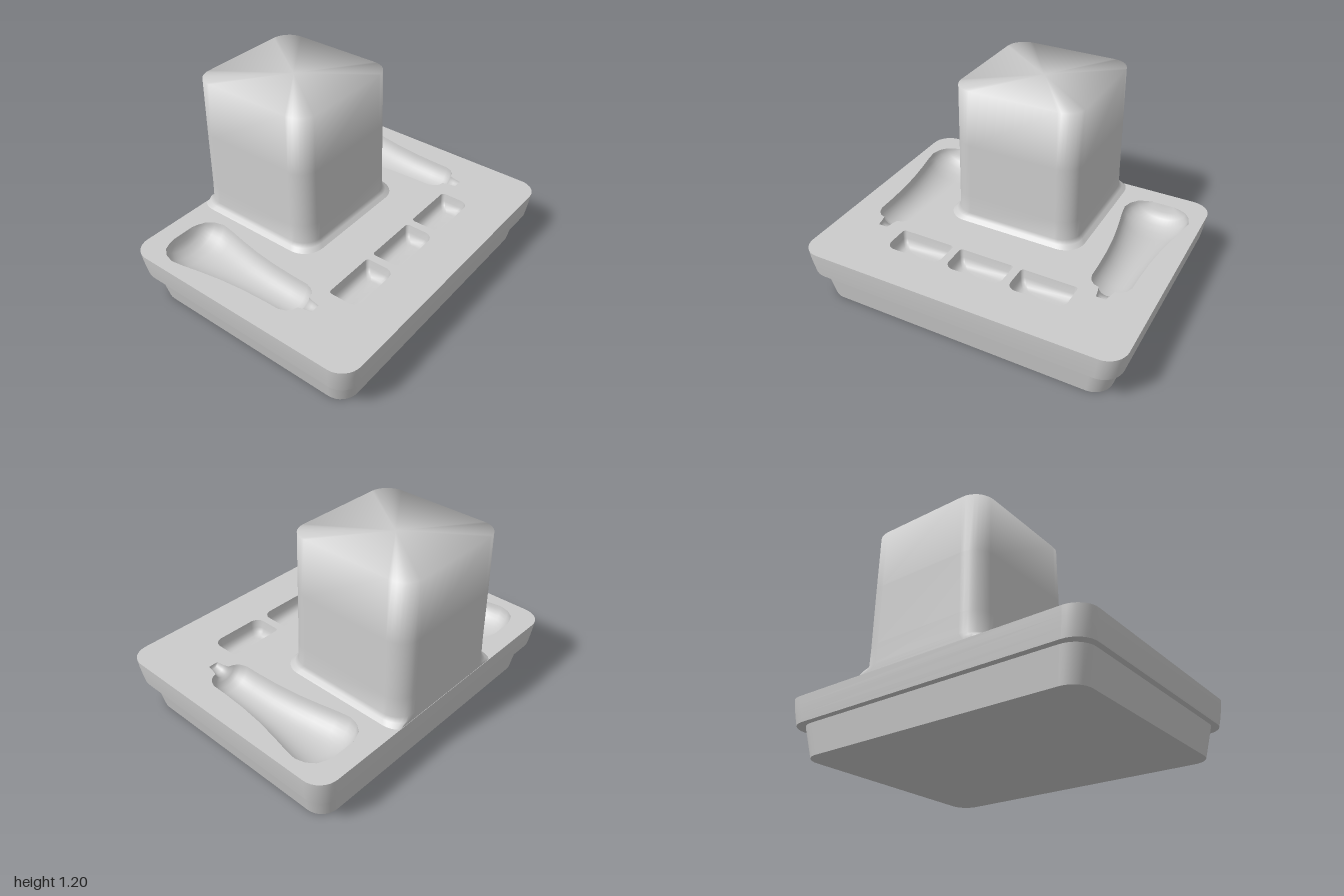
import * as THREE from 'three';

const TOP = 0.34;      // tray surface height
const LIP = 0.185;     // height of the step under the tray

// Rounded rectangle as [x, z] points; front and back corners may differ
function rounded(hx, z0, z1, rFront, rBack = rFront, cx = 0) {
  const pts = [], n = 8;
  const corners = [[1, 1, 0], [-1, 1, 1], [-1, -1, 2], [1, -1, 3]];
  for (const [sx, sz, q] of corners) {
    const r = sz > 0 ? rFront : rBack;
    for (let i = 0; i <= n; i++) {
      const a = (q + i / n) * Math.PI / 2;
      pts.push([cx + sx * (hx - r) + r * Math.cos(a), (sz > 0 ? z1 - r : z0 + r) + r * Math.sin(a)]);
    }
  }
  return pts;
}

// Skin through stacked rings { y, pts }, optionally closed at the last ring
function loft(rings, cap = false) {
  const pos = [], idx = [], n = rings[0].pts.length;
  for (const { y, pts } of rings) for (const [x, z] of pts) pos.push(x, y, z);
  for (let i = 0; i < rings.length - 1; i++) {
    for (let j = 0; j < n; j++) {
      const k = (j + 1) % n, a = i * n + j, b = i * n + k;
      idx.push(a, a + n, b, b, a + n, b + n);
    }
  }
  if (cap) {
    const last = rings[rings.length - 1], o = (rings.length - 1) * n;
    let cx = 0, cz = 0;
    for (const [x, z] of last.pts) { cx += x / n; cz += z / n; }
    pos.push(cx, last.y, cz);
    for (let j = 0; j < n; j++) idx.push(rings.length * n, o + (j + 1) % n, o + j);
  }
  return finish(pos, idx);
}

function finish(pos, idx) {
  const g = new THREE.BufferGeometry();
  g.setAttribute('position', new THREE.Float32BufferAttribute(pos, 3));
  g.setIndex(idx);
  g.computeVertexNormals();
  return g;
}

// Bottle hollow: [z, half width, depth] from the rounded end to the nozzle
const BOTTLE = [
  [-0.665, 0.07, 0], [-0.655, 0.11, 0.05], [-0.635, 0.155, 0.09], [-0.59, 0.19, 0.12],
  [-0.53, 0.207, 0.135], [-0.45, 0.195, 0.135], [-0.33, 0.17, 0.13], [-0.2, 0.147, 0.125],
  [-0.05, 0.13, 0.12], [0.1, 0.122, 0.115], [0.2, 0.12, 0.11], [0.24, 0.105, 0.095],
  [0.265, 0.08, 0.07], [0.275, 0.048, 0.045], [0.31, 0.038, 0.038], [0.353, 0.03, 0.03], [0.355, 0.03, 0],
];

function bottleHollow(cx) {
  const pos = [], idx = [], n = 20;
  BOTTLE.forEach(([z, w, d], i) => {
    for (let j = 0; j <= n; j++) {
      const t = Math.PI * j / n;
      pos.push(cx - w * Math.cos(t), TOP - d * Math.sin(t), z);
      if (i < BOTTLE.length - 1 && j < n) {
        const a = i * (n + 1) + j, b = a + n + 1;
        idx.push(a, b, a + 1, a + 1, b, b + 1);
      }
    }
  });
  return finish(pos, idx);
}

function bottleOutline(cx) {
  const left = BOTTLE.map(([z, w]) => [cx - w, z]);
  const right = BOTTLE.map(([z, w]) => [cx + w, z]).reverse();
  return [...left, ...right];
}

export function createModel() {
  const model = new THREE.Group();
  const mat = new THREE.MeshStandardMaterial({ color: 0xcccccc, side: THREE.DoubleSide });
  const add = (name, geometry) => {
    const mesh = new THREE.Mesh(geometry, mat);
    mesh.name = name;
    model.add(mesh);
  };
  const slab = (y, hx, hz, r) => ({ y, pts: rounded(hx, -hz, hz, r) });
  const flat = pts => pts.map(([x, z]) => new THREE.Vector2(x, -z));

  // Tapered base with its underside
  add('base', loft([slab(0, 0.905, 0.7, 0.11), slab(LIP, 0.945, 0.73, 0.12)]));
  const under = new THREE.ShapeGeometry(new THREE.Shape(flat(rounded(0.905, -0.7, 0.7, 0.11))));
  add('baseUnderside', under.rotateX(Math.PI / 2));

  // Overhanging tray rim
  add('trayLedge', loft([slab(LIP, 0.945, 0.73, 0.12), slab(LIP, 0.978, 0.768, 0.12)]));
  add('trayRim', loft([
    slab(LIP, 0.978, 0.768, 0.12), slab(0.23, 0.986, 0.774, 0.12),
    slab(0.29, 0.995, 0.781, 0.12), slab(TOP, 1, 0.785, 0.12),
  ]));

  // Tray surface, cut out for the hollows
  const surface = new THREE.Shape(flat(rounded(1, -0.785, 0.785, 0.12)));

  for (const [name, cx] of [['leftBottleHollow', 0.717], ['rightBottleHollow', -0.717]]) {
    surface.holes.push(new THREE.Path(flat(bottleOutline(cx))));
    add(name, bottleHollow(cx));
  }

  // Three small pockets along the front, with softened floors
  for (const cx of [-0.4, 0, 0.4]) {
    const ring = (depth, inset) => ({
      y: TOP - depth,
      pts: rounded(0.175 - inset, 0.333 + inset, 0.52 - inset, 0.055 - inset * 0.5, 0.02, cx),
    });
    surface.holes.push(new THREE.Path(flat(ring(0, 0).pts)));
    add('pocket', loft([ring(0, 0), ring(0.05, 0.006), ring(0.075, 0.015), ring(0.09, 0.032), ring(0.095, 0.055)], true));
  }

  const top = new THREE.ShapeGeometry(surface).rotateX(-Math.PI / 2);
  add('traySurface', top.translate(0, TOP, 0));

  // Tower with a flared foot, flush with the back of the tray
  const section = (y, hx, z1, r, z0 = -0.78) => ({
    y, pts: rounded(hx, z0, z1, r).map(([x, z]) => [x, Math.max(z, -0.783)]),
  });
  add('tower', loft([
    section(TOP, 0.443, 0.075, 0.13, -0.825), section(0.36, 0.422, 0.055, 0.125, -0.803),
    section(0.38, 0.405, 0.038, 0.12, -0.783), section(0.5, 0.403, 0.036, 0.12),
    section(0.85, 0.399, 0.031, 0.12), section(1.2, 0.395, 0.027, 0.12, -0.777),
  ], true));

  return model;
}
